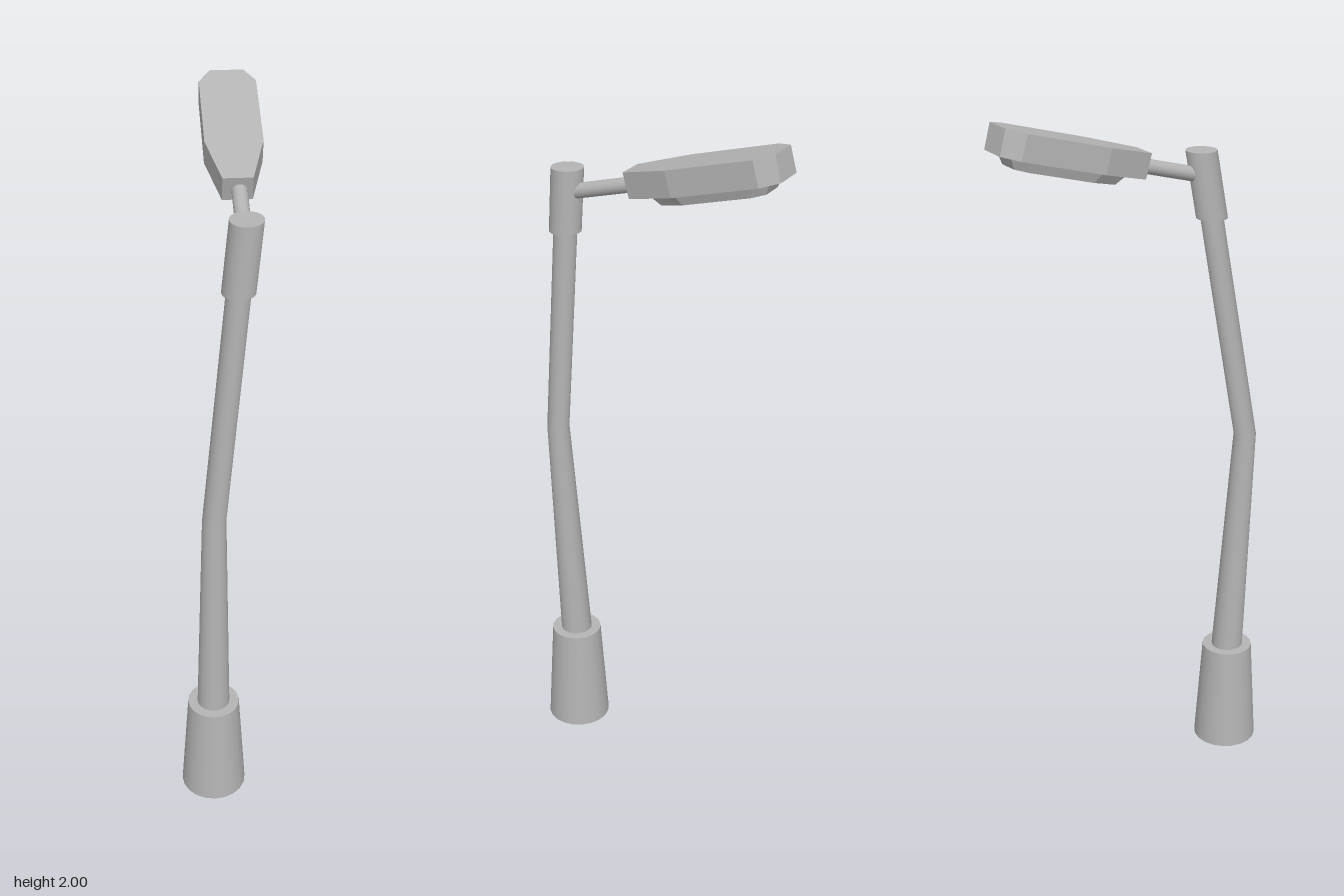
import * as THREE from 'three';

const grey = new THREE.MeshStandardMaterial({ color: 0xb4b4b4, side: THREE.DoubleSide });
grey.name = 'galvanised grey';

function part(name, geometry) {
  const mesh = new THREE.Mesh(geometry, grey);
  mesh.name = name;
  return mesh;
}

// Leaning tube whose ends stay level: a cylinder sheared from one centre to another
function leaningTube(from, to, r0, r1, open = false) {
  const h = to[1] - from[1];
  const g = new THREE.CylinderGeometry(r1, r0, h, 20, 1, open);
  g.translate(0, h / 2, 0);
  const p = g.attributes.position;
  for (let i = 0; i < p.count; i++) {
    const t = p.getY(i) / h;
    p.setXYZ(i,
      p.getX(i) + from[0] + (to[0] - from[0]) * t,
      p.getY(i) + from[1],
      p.getZ(i) + from[2] + (to[2] - from[2]) * t);
  }
  return g;
}

// Flat slab from a mirrored half outline of [half width, distance backwards]
function slab(half, thickness) {
  const points = [
    ...half.map(([x, d]) => new THREE.Vector2(x, d)),
    ...half.slice().reverse().map(([x, d]) => new THREE.Vector2(-x, d)),
  ];
  const g = new THREE.ExtrudeGeometry(new THREE.Shape(points), { depth: thickness, bevelEnabled: false });
  return g.rotateX(-Math.PI / 2);
}

export function createModel() {
  const model = new THREE.Group();
  model.name = 'streetLamp';

  // Tapered foot, open underneath, with a flat top ring
  const foot = [-0.033, 0, 0.305], footTop = [-0.033, 0.32, 0.307];
  model.add(part('base', leaningTube(foot, footTop, 0.095, 0.075, true)));
  const lid = new THREE.CircleGeometry(0.075, 20).rotateX(-Math.PI / 2).translate(...footTop);
  model.add(part('baseTop', lid));

  // Bent pole and the sleeve on its top
  const bend = [-0.033, 1.02, 0.352], neck = [0.035, 1.67, 0.266], tip = [0.056, 1.86, 0.241];
  model.add(part('lowerPole', leaningTube(footTop, bend, 0.047, 0.033, true)));
  model.add(part('upperPole', leaningTube(bend, neck, 0.033, 0.033, true)));
  model.add(part('sleeve', leaningTube(neck, tip, 0.045, 0.045)));

  // Tilted lamp head with its arm
  const head = new THREE.Group();
  head.name = 'lampHead';
  head.position.set(0.048, 1.813, 0.035);
  head.rotation.x = 0.26;
  head.add(part('housing', slab([[0.04, 0], [0.0775, 0.148], [0.0775, 0.402], [0.046, 0.45]], 0.072)));

  const arm = new THREE.CylinderGeometry(0.021, 0.021, 0.22, 16);
  arm.rotateX(Math.PI / 2).translate(0.005, 0.03, 0.1);
  head.add(part('arm', arm));

  // Lens under the housing, narrowing towards its lower face
  const lens = slab([[0.032, 0.06], [0.062, 0.15], [0.062, 0.375], [0.04, 0.415]], 0.028);
  lens.translate(0, -0.028, 0);
  const p = lens.attributes.position;
  for (let i = 0; i < p.count; i++) {
    if (p.getY(i) > -0.01) continue;
    p.setX(i, p.getX(i) * 0.85);
    p.setZ(i, -0.26 + (p.getZ(i) + 0.26) * 0.88);
  }
  lens.computeVertexNormals();
  head.add(part('lens', lens));

  model.add(head);
  return model;
}
